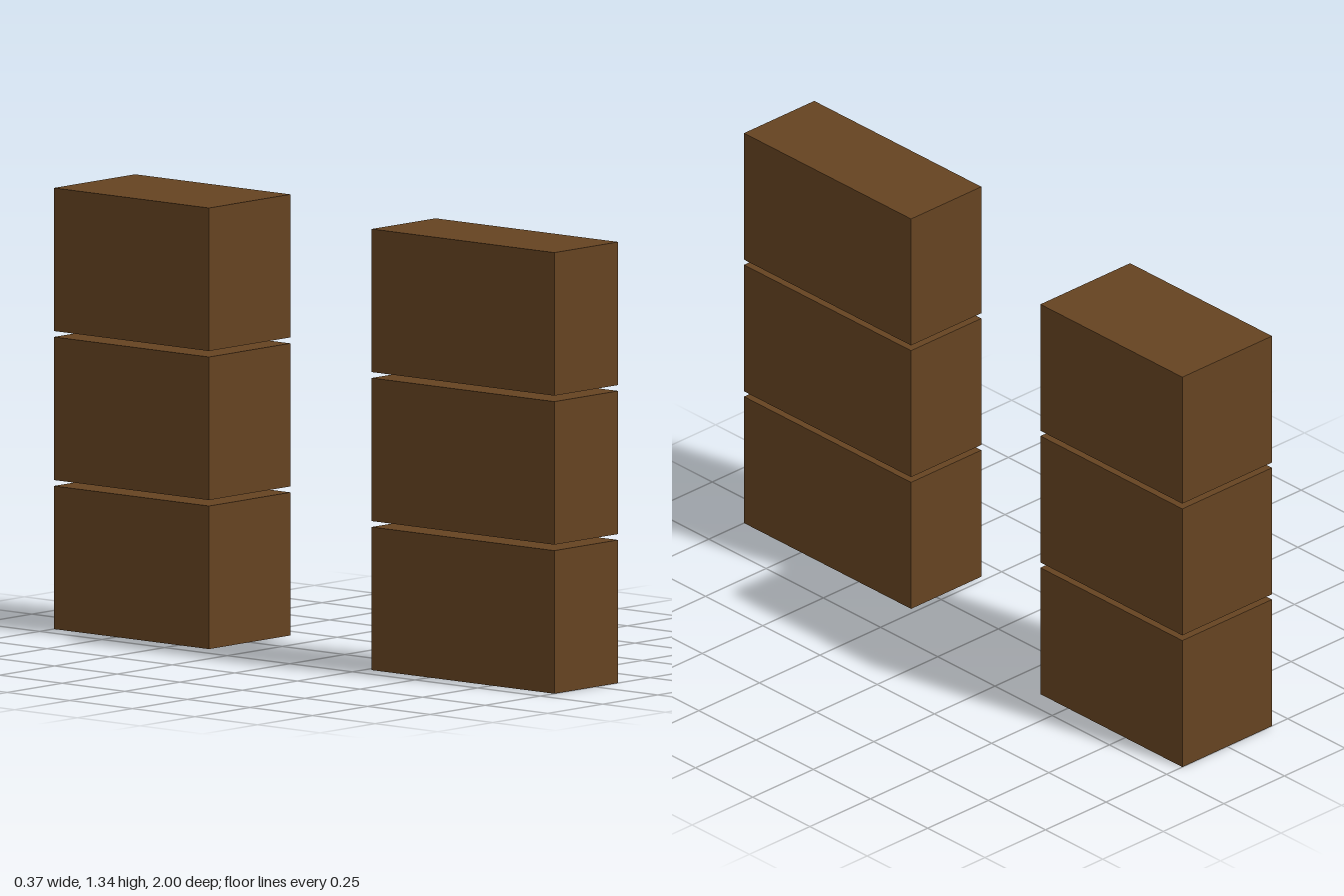
import * as THREE from 'three';

export function createModel() {
  const model = new THREE.Group();
  const brown = new THREE.MeshStandardMaterial({ color: 0x654321 });

  const boxHeight = 0.434;
  const pitch = 0.452; // box height plus the gap between boxes

  // A column of three equal boxes covering the given x and z ranges
  function addStack(name, x0, x1, z0, z1) {
    const stack = new THREE.Group();
    stack.name = name;
    const geometry = new THREE.BoxGeometry(x1 - x0, boxHeight, z1 - z0);
    ['lowerBox', 'middleBox', 'upperBox'].forEach((boxName, i) => {
      const box = new THREE.Mesh(geometry, brown);
      box.name = boxName;
      box.position.set((x0 + x1) / 2, boxHeight / 2 + i * pitch, (z0 + z1) / 2);
      stack.add(box);
    });
    model.add(stack);
  }

  // Narrow, deeper stack in front; wide, shallower stack behind
  addStack('frontStack', -0.185, 0.105, 0.27, 1);
  addStack('backStack', -0.185, 0.185, -1, -0.38);

  return model;
}
